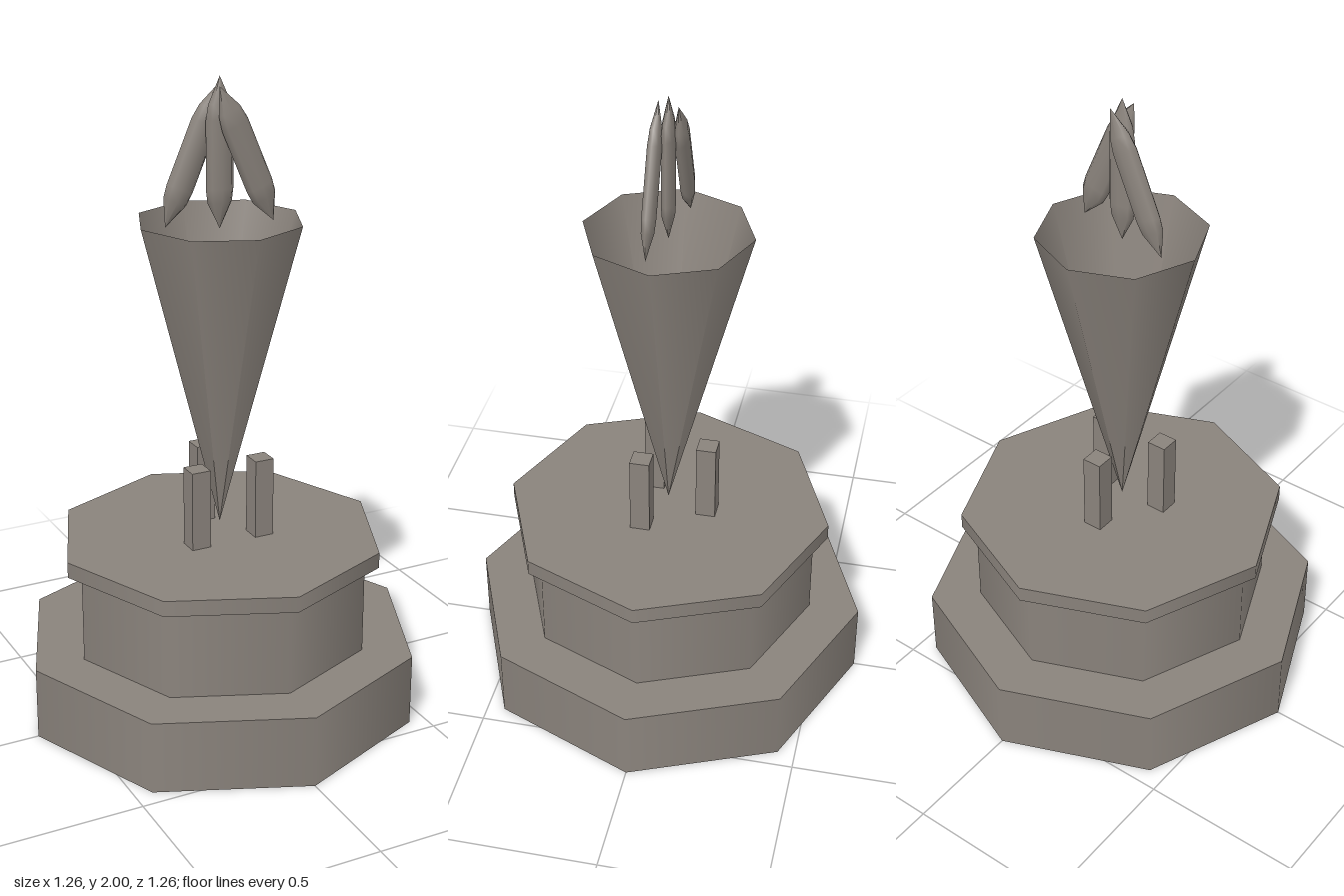
import * as THREE from 'three';

export function createModel() {
  const model = new THREE.Group();
  model.name = 'torchTrophy';

  const stone = new THREE.MeshStandardMaterial({ color: 0x8a837c });
  stone.name = 'warm grey stone';
  const stoneOpen = stone.clone();
  stoneOpen.side = THREE.DoubleSide;

  function add(name, geometry, x, y, z, material = stone) {
    const mesh = new THREE.Mesh(geometry, material);
    mesh.name = name;
    mesh.position.set(x, y, z);
    model.add(mesh);
    return mesh;
  }

  // Octagonal pedestal: name, radius, bottom, top
  const tiers = [
    ['lowerBase', 0.63, 0, 0.23],
    ['upperBase', 0.47, 0.23, 0.52],
    ['baseSlab', 0.515, 0.52, 0.57],
  ];
  for (const [name, radius, bottom, top] of tiers) {
    add(name, new THREE.CylinderGeometry(radius, radius, top - bottom, 8), 0, (bottom + top) / 2, 0);
  }

  // Three square posts evenly spaced around the tip of the cone
  const postGeometry = new THREE.BoxGeometry(0.062, 0.254, 0.062);
  for (let i = 0; i < 3; i++) {
    const angle = Math.PI + (i * Math.PI * 2) / 3;
    add('supportPost', postGeometry, Math.sin(angle) * 0.125, 0.697, Math.cos(angle) * 0.125);
  }

  // Open torch cone standing on its point
  add('torchCone', new THREE.CylinderGeometry(0.255, 0, 0.97, 8, 1, true), 0, 1.091, 0, stoneOpen);

  // Flame tongues: flattened spindles, the outer two leaning inwards
  const profile = [
    [0, -0.225], [0.04, -0.145], [0.045, -0.105],
    [0.045, 0.1], [0.037, 0.145], [0, 0.225],
  ].map(([r, y]) => new THREE.Vector2(r, y));
  const flameGeometry = new THREE.LatheGeometry(profile, 8);
  flameGeometry.scale(1, 1, 0.48);
  for (const side of [-1, 0, 1]) {
    const flame = add('flameTongue', flameGeometry, side * 0.073, side ? 1.77 : 1.775, side * 0.032);
    flame.rotation.z = side * 0.41;
  }

  return model;
}
